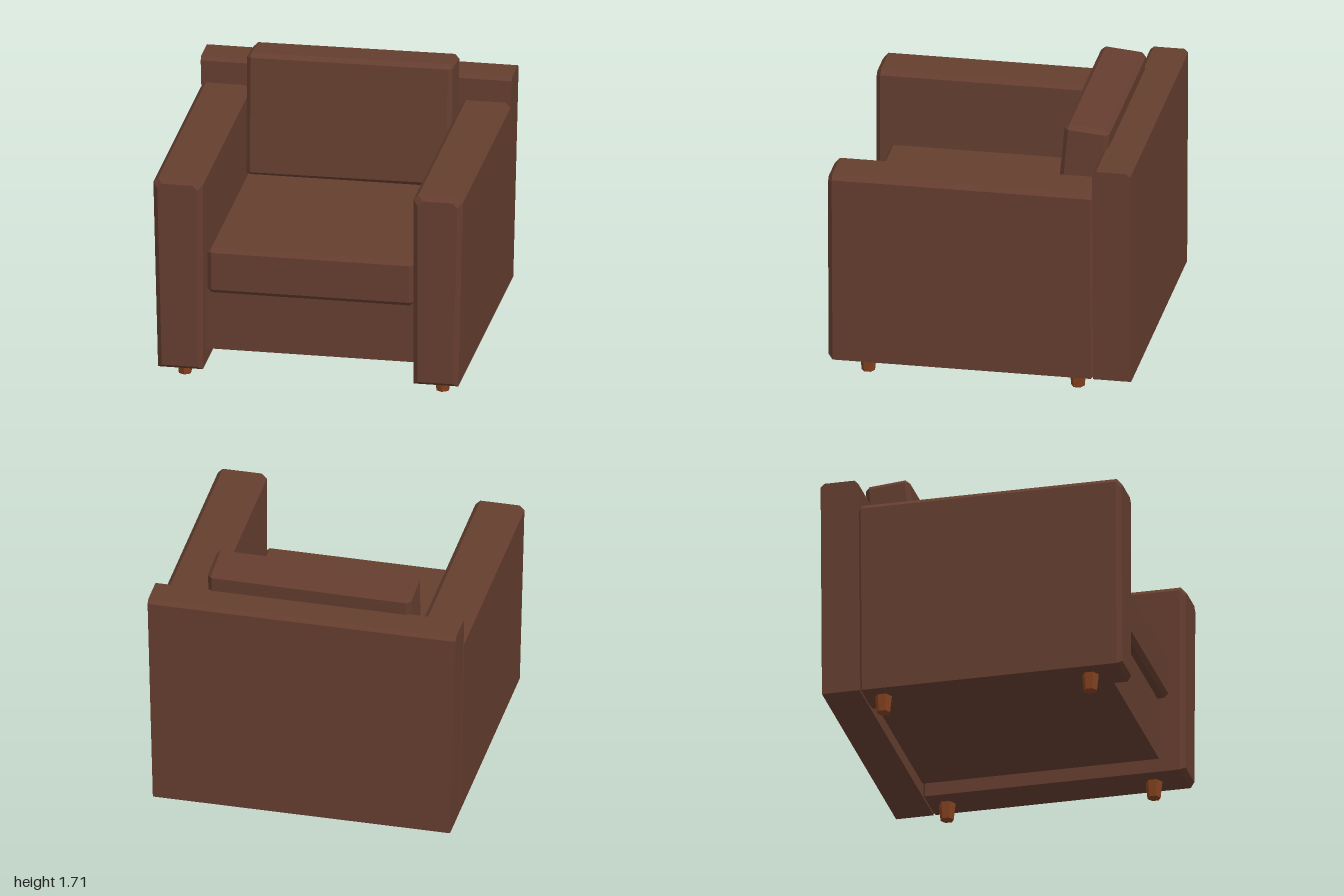
import * as THREE from 'three';
import { ConvexGeometry } from 'three/addons/geometries/ConvexGeometry.js';

const V = (x, y, z) => new THREE.Vector3(x, y, z);

// Outer sides lean outward slightly with height
const sideX = (y) => 0.965 + 0.024 * (y - 0.11);

// Box with all edges chamfered by b
function chamferBox(w, h, d, b) {
  const pts = [];
  for (const sx of [-1, 1]) for (const sy of [-1, 1]) for (const sz of [-1, 1]) {
    const X = w / 2, Y = h / 2, Z = d / 2;
    pts.push(
      V(sx * X, sy * (Y - b), sz * (Z - b)),
      V(sx * (X - b), sy * Y, sz * (Z - b)),
      V(sx * (X - b), sy * (Y - b), sz * Z)
    );
  }
  return new ConvexGeometry(pts);
}

// Arm: flared cross-section with chamfered top, inset at both ends
function armGeometry(s) {
  const pts = [];
  const section = (z, inset) => {
    const xi = 0.677 + inset, y0 = 0.11 + inset * 0.8, y1 = 1.393 - inset, c = 0.032;
    const xo = (y) => sideX(y) - inset;
    for (const [x, y] of [
      [xi, y0], [xo(y0), y0], [xo(y1 - c), y1 - c],
      [xo(y1) - c, y1], [xi + c, y1], [xi, y1 - c]
    ]) pts.push(V(s * x, y, z));
  };
  section(0.975, 0.03);
  section(0.945, 0);
  section(-0.715, 0);
  section(-0.728, 0.013);
  return new ConvexGeometry(pts);
}

// Back panel: side profile with chamfered top, run across the width
function backGeometry() {
  const c = 0.024, zf = -0.73, zb = -0.975, top = 1.558;
  const profile = [[zf, 0.11], [zf, top - c], [zf - c, top], [zb + c, top], [zb, top - c], [zb, 0.11]];
  const pts = [];
  for (const [z, y] of profile) for (const s of [-1, 1]) pts.push(V(s * sideX(y), y, z));
  return new ConvexGeometry(pts);
}

export function createModel() {
  const model = new THREE.Group();
  model.name = 'armchair';
  const upholstery = new THREE.MeshStandardMaterial({ color: 0x653e2f });
  upholstery.name = 'brown upholstery';
  const wood = new THREE.MeshStandardMaterial({ color: 0x84421f });
  wood.name = 'reddish wood';

  const add = (name, geometry, material, x = 0, y = 0, z = 0) => {
    const mesh = new THREE.Mesh(geometry, material);
    mesh.name = name;
    mesh.position.set(x, y, z);
    model.add(mesh);
    return mesh;
  };

  // Frame
  add('backPanel', backGeometry(), upholstery);
  add('leftArm', armGeometry(1), upholstery);
  add('rightArm', armGeometry(-1), upholstery);
  add('seatBase', new THREE.BoxGeometry(1.354, 0.42, 1.54), upholstery, 0, 0.41, 0.04);

  // Cushions
  add('seatCushion', chamferBox(1.33, 0.305, 1.6, 0.028), upholstery, 0, 0.753, 0.08);
  const backCushion = add('backCushion', chamferBox(1.32, 0.81, 0.29, 0.028), upholstery, 0.003, 1.29, -0.595);
  backCushion.rotation.set(-0.09, 0, 0.008);

  // Tapered six-sided legs, flat shaded
  const legGeometry = new THREE.CylinderGeometry(0.056, 0.043, 0.12, 6).toNonIndexed();
  legGeometry.computeVertexNormals();
  for (const x of [-0.828, 0.828]) {
    const side = x > 0 ? 'Left' : 'Right';
    add('front' + side + 'Leg', legGeometry, wood, x, 0.06, 0.74);
    add('back' + side + 'Leg', legGeometry, wood, x, 0.06, -0.608);
  }
  return model;
}
